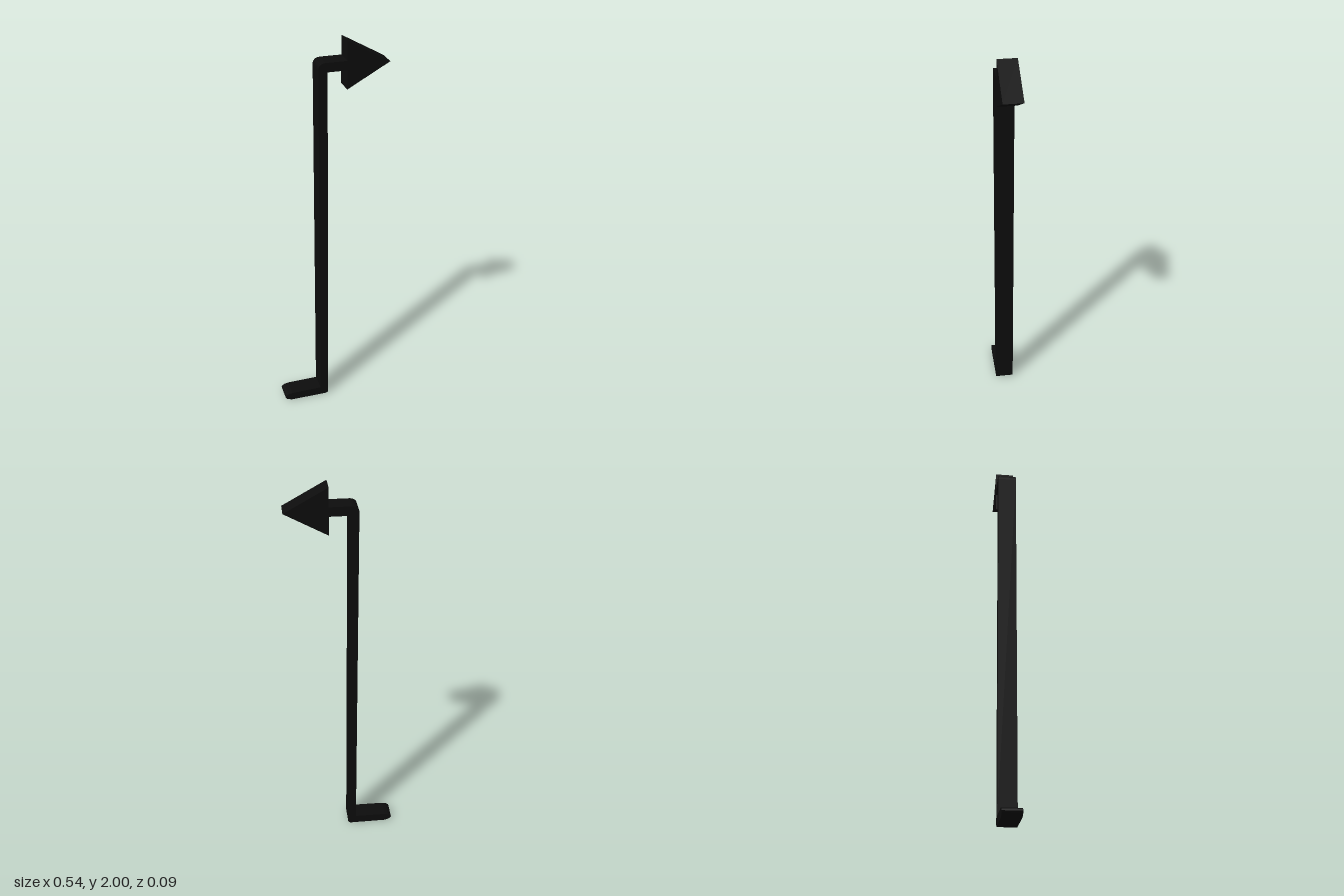
import * as THREE from 'three';

const DEPTH = 0.094;

// Flat outline pushed out along z and centred on z = 0
function slab(name, shape, material) {
  const geometry = new THREE.ExtrudeGeometry(shape, { depth: DEPTH, bevelEnabled: false, curveSegments: 6 });
  geometry.translate(0, 0, -DEPTH / 2);
  const mesh = new THREE.Mesh(geometry, material);
  mesh.name = name;
  return mesh;
}

export function createModel() {
  const group = new THREE.Group();
  group.name = 'bentArrow';
  const black = new THREE.MeshStandardMaterial({ color: 0x0d0d0d });

  // Stem: foot with a rounded end, tall upright, short arm at the top
  const stem = new THREE.Shape();
  stem.moveTo(-0.235, 0);
  stem.lineTo(-0.045, 0);
  stem.quadraticCurveTo(-0.029, 0.002, -0.029, 0.018);
  stem.lineTo(-0.029, 1.862);
  stem.lineTo(0.066, 1.862);
  stem.lineTo(0.066, 1.907);
  stem.lineTo(-0.04, 1.907);
  stem.quadraticCurveTo(-0.073, 1.905, -0.073, 1.875);
  stem.lineTo(-0.073, 0.046);
  stem.lineTo(-0.235, 0.044);
  stem.bezierCurveTo(-0.285, 0.038, -0.285, 0.008, -0.235, 0);
  group.add(slab('stem', stem, black));

  // Arrowhead: flat triangle pointing to +x
  const head = new THREE.Shape();
  head.moveTo(0.065, 1.77);
  head.lineTo(0.272, 1.885);
  head.lineTo(0.065, 2);
  head.closePath();
  group.add(slab('arrowhead', head, black));

  return group;
}
